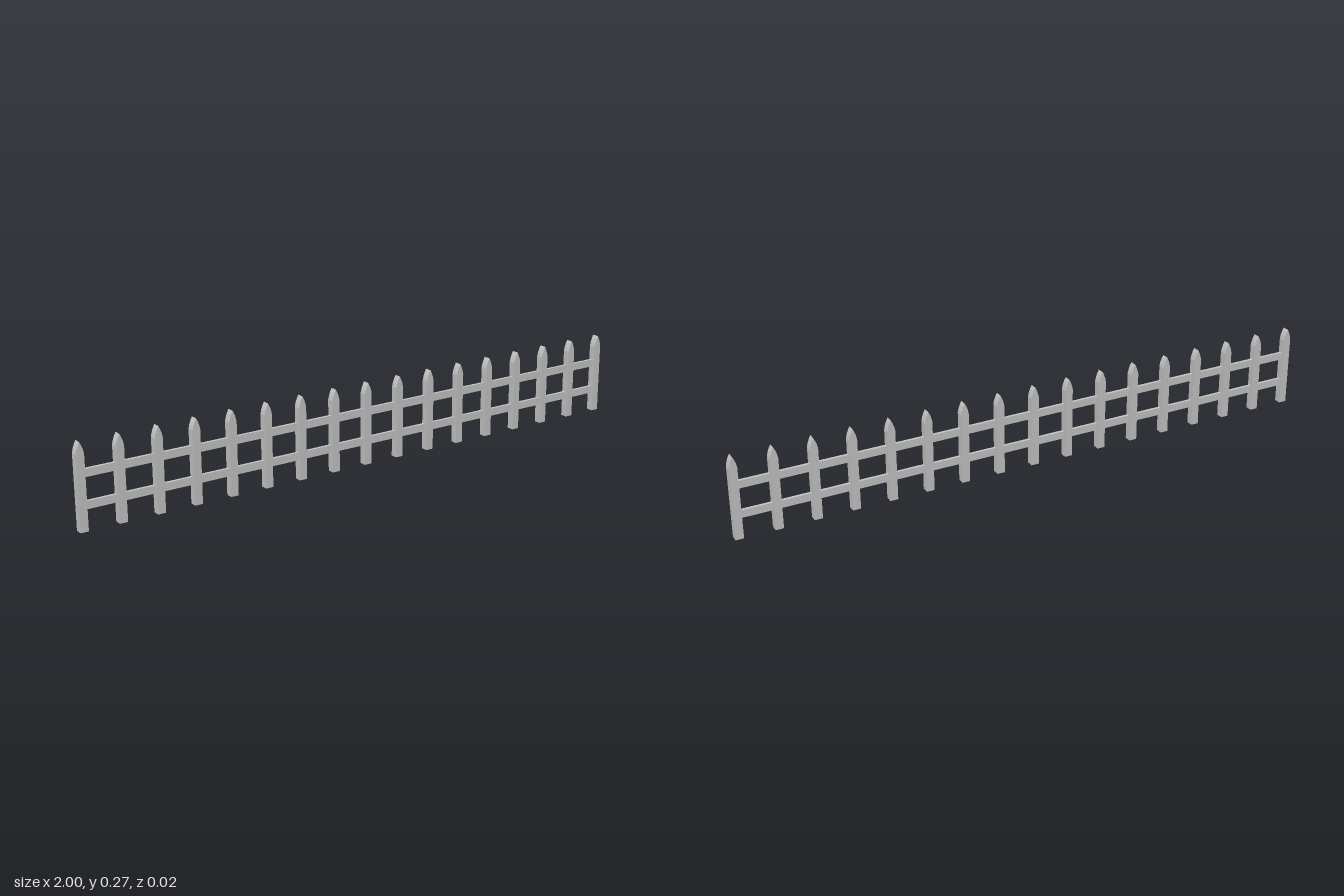
import * as THREE from 'three';

export function createModel() {
  const fence = new THREE.Group();
  fence.name = 'picketFence';

  const grey = new THREE.MeshStandardMaterial({ color: 0xc4c4c4 });
  grey.name = 'lightGrey';

  const count = 17, width = 0.026, depth = 0.024, height = 0.271;
  const half = width / 2;
  const spacing = (2 - width) / (count - 1);

  // Picket outline with a slightly arched, pointed tip
  const outline = new THREE.Shape();
  outline.moveTo(-half, 0);
  outline.lineTo(half, 0);
  outline.lineTo(half, 0.235);
  outline.quadraticCurveTo(half * 0.75, 0.254, 0, height);
  outline.quadraticCurveTo(-half * 0.75, 0.254, -half, 0.235);
  outline.closePath();
  const picketGeometry = new THREE.ExtrudeGeometry(outline, {
    depth, bevelEnabled: false, curveSegments: 3,
  });
  picketGeometry.translate(0, 0, -depth / 2);

  // Row of evenly spaced pickets
  for (let i = 0; i < count; i++) {
    const picket = new THREE.Mesh(picketGeometry, grey);
    picket.name = `picket${i + 1}`;
    picket.position.x = -1 + half + i * spacing;
    fence.add(picket);
  }

  // Two rails running through the pickets
  const railGeometry = new THREE.BoxGeometry(2 - width, 0.025, 0.01);
  for (const [name, y] of [['lowerRail', 0.077], ['upperRail', 0.174]]) {
    const rail = new THREE.Mesh(railGeometry, grey);
    rail.name = name;
    rail.position.y = y;
    fence.add(rail);
  }

  return fence;
}
